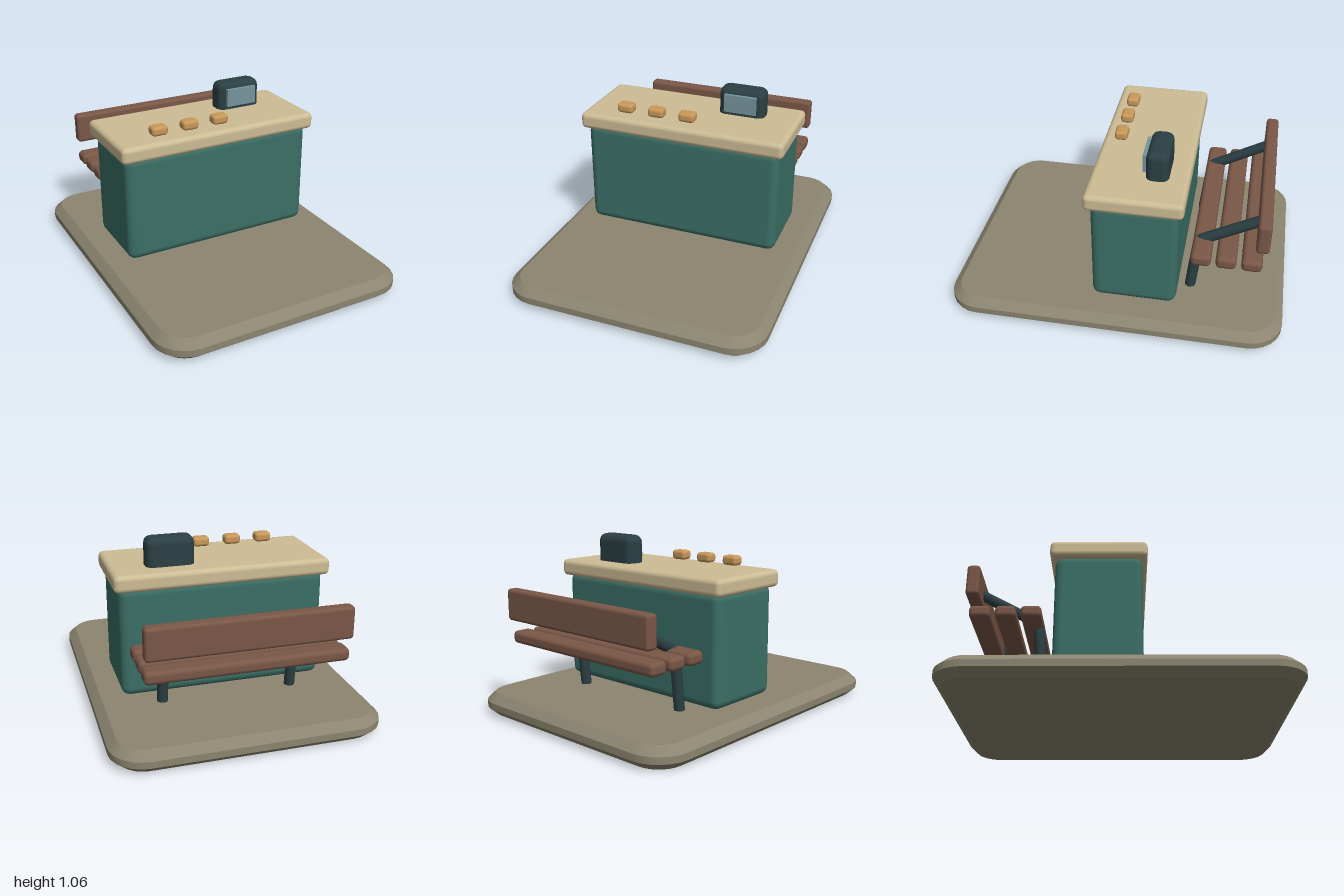
import * as THREE from 'three';
import { toCreasedNormals } from 'three/addons/utils/BufferGeometryUtils.js';
import { RoundedBoxGeometry } from 'three/addons/geometries/RoundedBoxGeometry.js';

function material(name, color) {
  const m = new THREE.MeshStandardMaterial({ color });
  m.name = name;
  return m;
}

// Rounded rectangle outline centred on the origin
function roundedRect(w, h, r) {
  const x = w / 2, y = h / 2;
  const s = new THREE.Shape();
  s.moveTo(-x + r, -y);
  s.lineTo(x - r, -y);
  s.absarc(x - r, -y + r, r, -Math.PI / 2, 0);
  s.lineTo(x, y - r);
  s.absarc(x - r, y - r, r, 0, Math.PI / 2);
  s.lineTo(-x + r, y);
  s.absarc(-x + r, y - r, r, Math.PI / 2, Math.PI);
  s.lineTo(-x, -y + r);
  s.absarc(-x + r, -y + r, r, Math.PI, Math.PI * 1.5);
  return s;
}

export function createModel() {
  const model = new THREE.Group();
  model.name = 'counterWithBench';

  const stone = material('stone', 0x8b8570);
  const teal = material('teal', 0x3b6f66);
  const cream = material('cream', 0xcdbc95);
  const wood = material('wood', 0x7a5747);
  const metal = material('darkMetal', 0x2b4044);
  const glass = material('screenGlass', 0x76949c);
  const amber = material('amber', 0xc9985a);

  function add(name, geometry, mat, parent = model) {
    const mesh = new THREE.Mesh(geometry, mat);
    mesh.name = name;
    parent.add(mesh);
    return mesh;
  }

  // Rounded box given by its extents on each axis
  function block(name, [x0, x1], [y0, y1], [z0, z1], r, mat, parent) {
    const mesh = add(name, new RoundedBoxGeometry(x1 - x0, y1 - y0, z1 - z0, 2, r), mat, parent);
    mesh.position.set((x0 + x1) / 2, (y0 + y1) / 2, (z0 + z1) / 2);
    return mesh;
  }

  // Round bar between two points
  function bar(name, from, to, radius, mat, parent) {
    const a = new THREE.Vector3(...from), b = new THREE.Vector3(...to);
    const dir = b.clone().sub(a);
    const mesh = add(name, new THREE.CylinderGeometry(radius, radius, dir.length(), 10), mat, parent);
    mesh.position.copy(a).add(b).multiplyScalar(0.5);
    mesh.quaternion.setFromUnitVectors(new THREE.Vector3(0, 1, 0), dir.normalize());
    return mesh;
  }

  // Ground slab with chamfered rim
  const slab = new THREE.ExtrudeGeometry(roundedRect(1.47, 1.9, 0.15), {
    depth: 0.04, bevelThickness: 0.045, bevelSize: 0.05, bevelSegments: 1, curveSegments: 3,
  });
  slab.rotateX(-Math.PI / 2);
  slab.translate(0, 0.045, 0);
  add('groundSlab', toCreasedNormals(slab, 0.7), stone);

  // Counter body and top
  block('counterBody', [-0.615, 0.615], [0.145, 0.81], [-0.37, 0.13], 0.05, teal);
  block('counterTop', [-0.645, 0.645], [0.79, 0.892], [-0.4, 0.16], 0.03, cream);

  // Items on the counter
  for (const x of [-0.375, -0.175, 0.025]) {
    block('counterItem', [x - 0.051, x + 0.051], [0.902, 0.96], [0.013, 0.089], 0.02, amber);
  }

  // Register with screen
  const register = new THREE.Group();
  register.name = 'register';
  model.add(register);
  block('registerCase', [0.147, 0.435], [0.83, 1.062], [-0.285, -0.153], 0.045, metal, register);
  const screen = add('registerScreen', new THREE.BoxGeometry(0.2, 0.11, 0.025), glass, register);
  screen.position.set(0.29, 0.971, -0.145);

  // Bench behind the counter
  const bench = new THREE.Group();
  bench.name = 'bench';
  model.add(bench);
  for (const z of [-0.499, -0.643, -0.788]) {
    block('seatSlat', [-0.582, 0.582], [0.434, 0.51], [z - 0.059, z + 0.059], 0.027, wood, bench);
  }
  block('backrest', [-0.582, 0.582], [0.578, 0.768], [-0.876, -0.8], 0.02, wood, bench);
  for (const x of [-0.395, 0.395]) {
    bar('benchLeg', [x, 0.125, -0.435], [x, 0.48, -0.472], 0.032, metal, bench);
    bar('backSupport', [x, 0.48, -0.472], [x, 0.68, -0.835], 0.032, metal, bench);
  }

  return model;
}
